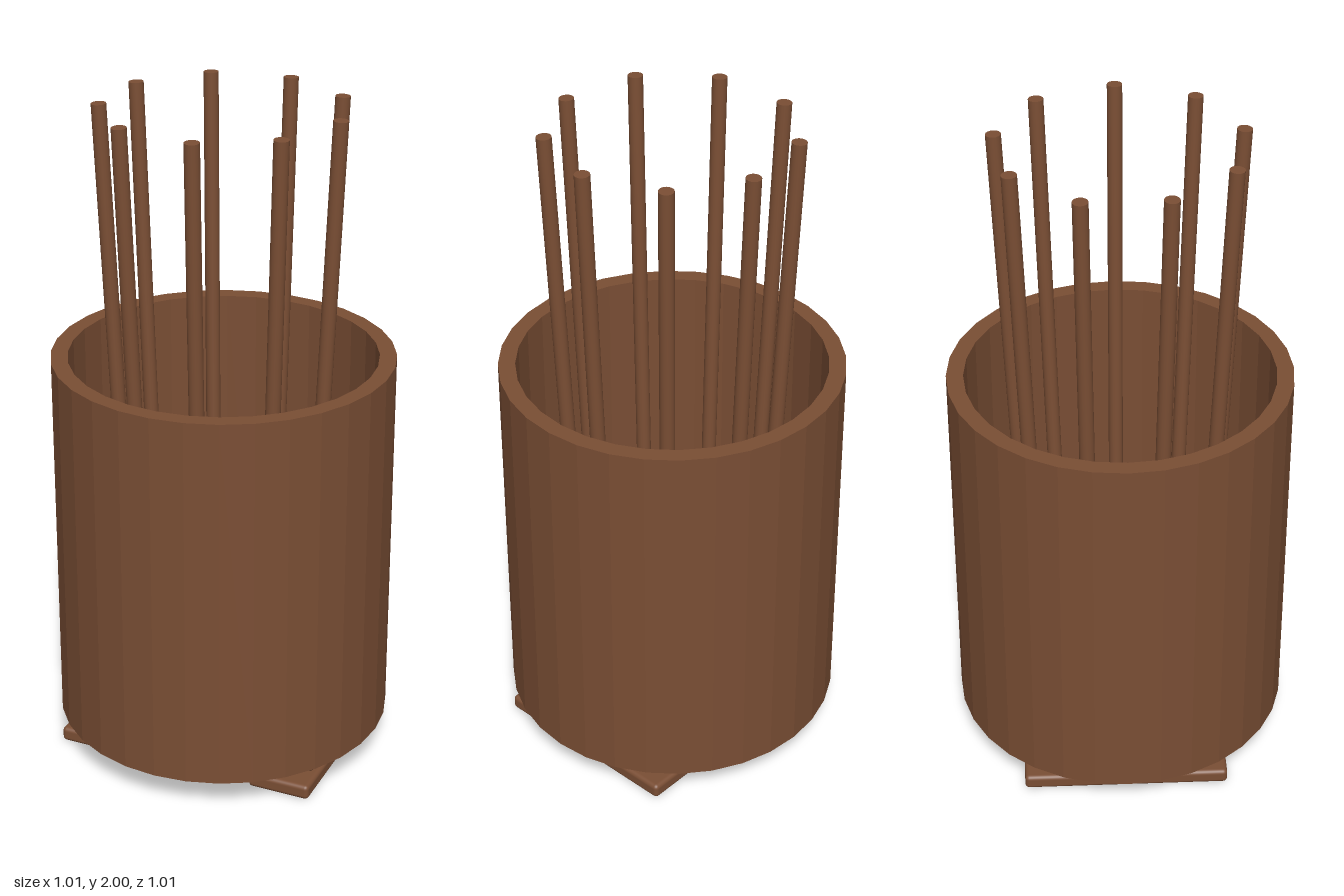
import * as THREE from 'three';
import { RoundedBoxGeometry } from 'three/addons/geometries/RoundedBoxGeometry.js';

const faceted = (geometry) => {
  const flat = geometry.toNonIndexed();
  flat.computeVertexNormals();
  return flat;
};

export function createModel() {
  const model = new THREE.Group();
  const wood = new THREE.MeshStandardMaterial({ color: 0x7a4e34 });
  wood.name = 'brownWood';

  const add = (name, geometry, x = 0, y = 0, z = 0) => {
    const mesh = new THREE.Mesh(geometry, wood);
    mesh.name = name;
    mesh.position.set(x, y, z);
    model.add(mesh);
    return mesh;
  };

  // Hollow container wall, open at both ends
  const profile = [[0.455, 0.1], [0.505, 0.1], [0.505, 1.255], [0.455, 1.255], [0.455, 0.1]]
    .map(([r, y]) => new THREE.Vector2(r, y));
  add('containerWall', faceted(new THREE.LatheGeometry(profile, 32)));

  // Ring of sticks leaning slightly outward
  const up = new THREE.Vector3(0, 1, 0);
  for (let i = 0; i < 9; i++) {
    const a = (i * Math.PI * 2) / 9;
    const at = (r, y) => new THREE.Vector3(r * Math.cos(a), y, r * Math.sin(a));
    const bottom = at(0.27, 0.1);
    const top = at(0.35, 1.999);
    const axis = top.clone().sub(bottom);
    const stick = add(`stick${i + 1}`, new THREE.CylinderGeometry(0.022, 0.022, axis.length(), 16));
    stick.position.copy(bottom).add(top).multiplyScalar(0.5);
    stick.quaternion.setFromUnitVectors(up, axis.normalize());
  }

  // Floor slats, trimmed to the round wall
  [[-0.33, 0.31], [-0.22, 0.396], [-0.11, 0.44], [0, 0.455], [0.11, 0.44], [0.22, 0.396]]
    .forEach(([z, half], i) => {
      add(`floorSlat${i + 1}`, new RoundedBoxGeometry(half * 2, 0.046, 0.036, 3, 0.014), 0, 0.075, z);
    });

  // Two flat runners under the slats
  for (const side of [-1, 1]) {
    add(side > 0 ? 'leftRunner' : 'rightRunner',
      new RoundedBoxGeometry(0.193, 0.046, 0.62, 3, 0.013), side * 0.313, 0.025, 0);
  }

  return model;
}
